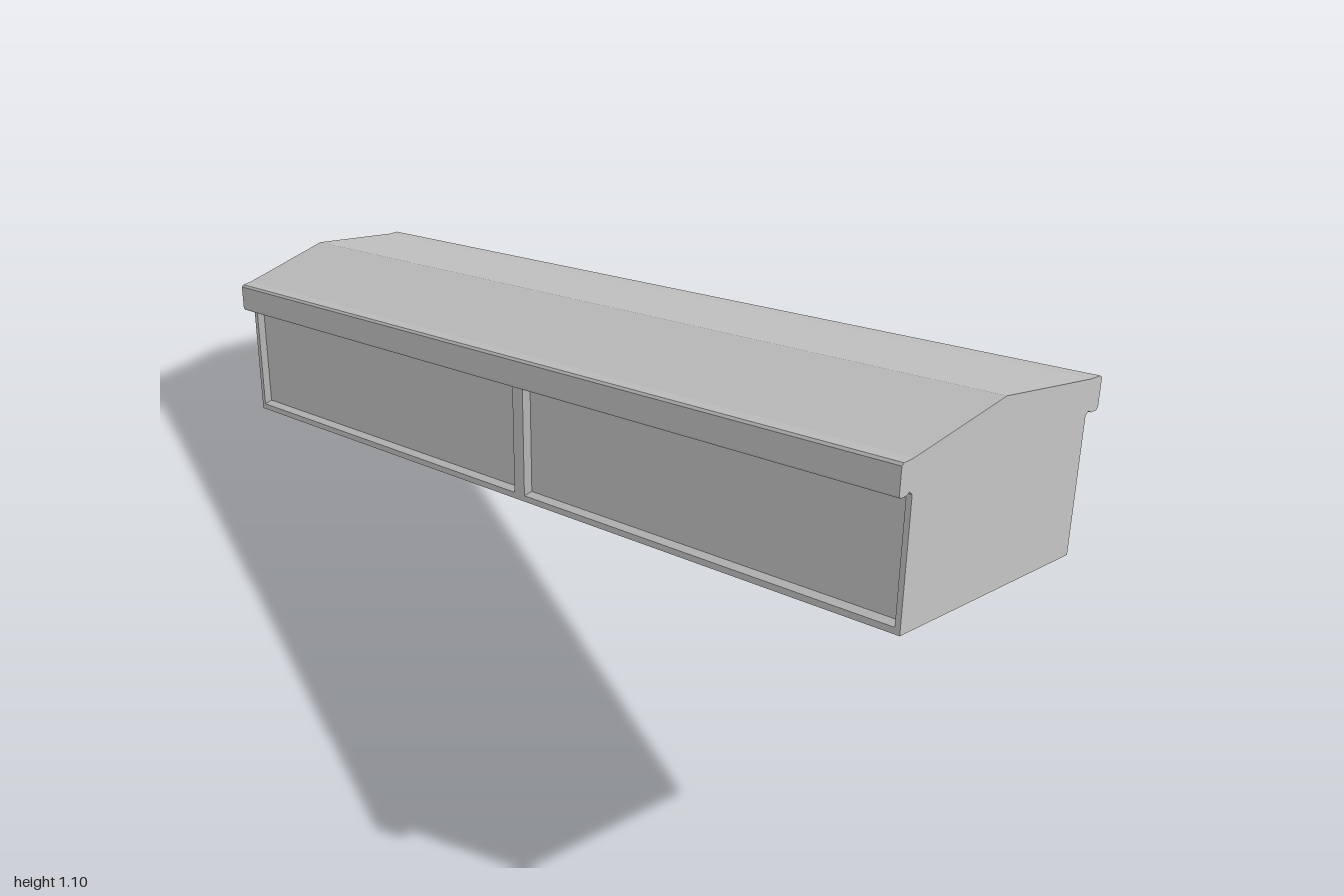
import * as THREE from 'three';

const SLOPE = 0.37, WALL_Z = 0.165, WALL_TOP = 0.26;
const material = new THREE.MeshStandardMaterial({
  color: 0xcccccc, flatShading: true, side: THREE.DoubleSide,
});

// Slants a level part so that it climbs towards +x
function slantedMesh(name, geometry) {
  const geo = geometry.index ? geometry.toNonIndexed() : geometry;
  const p = geo.attributes.position;
  for (let i = 0; i < p.count; i++) {
    p.setY(i, p.getY(i) + SLOPE * (p.getX(i) + 1));
  }
  geo.computeVertexNormals();
  const mesh = new THREE.Mesh(geo, material);
  mesh.name = name;
  return mesh;
}

// Joins two matching rows of [x, y, z] points with quads
function strip(rowA, rowB) {
  const pos = [];
  for (let i = 0; i + 1 < rowA.length; i++) {
    const [a, b, c, d] = [rowA[i], rowA[i + 1], rowB[i + 1], rowB[i]];
    pos.push(...a, ...b, ...c, ...a, ...c, ...d);
  }
  const geo = new THREE.BufferGeometry();
  geo.setAttribute('position', new THREE.Float32BufferAttribute(pos, 3));
  return geo;
}

// Closed rectangle of corners, counter-clockwise seen from +z
const rect = (x0, x1, y0, y1) => [[x0, y0], [x1, y0], [x1, y1], [x0, y1], [x0, y0]];
const toPath = (pts, Type) => new Type(pts.map(([x, y]) => new THREE.Vector2(x, y)));

// Side wall: a frame with two bevelled, recessed panels
function sideWall(name) {
  const wall = new THREE.Group();
  wall.name = name;
  const depth = 0.012, bevel = 0.006;
  const frame = toPath(rect(-1, 1, 0, WALL_TOP), THREE.Shape);
  for (const [x0, x1] of [[-0.988, -0.016], [0.016, 0.988]]) {
    const outer = rect(x0, x1, 0.013, 0.246);
    const inner = rect(x0 + bevel, x1 - bevel, 0.013 + bevel, 0.246 - bevel);
    frame.holes.push(toPath(outer, THREE.Path));
    const rim = strip(
      outer.map(([x, y]) => [x, y, WALL_Z]),
      inner.map(([x, y]) => [x, y, WALL_Z - depth]),
    );
    const panel = new THREE.ShapeGeometry(toPath(inner, THREE.Shape));
    panel.translate(0, 0, WALL_Z - depth);
    wall.add(slantedMesh('panelRim', rim), slantedMesh('panel', panel));
  }
  const frameGeo = new THREE.ShapeGeometry(frame);
  frameGeo.translate(0, 0, WALL_Z);
  wall.add(slantedMesh('wallFrame', frameGeo));
  return wall;
}

export function createModel() {
  const model = new THREE.Group();
  model.name = 'slopedCoveredPassage';

  // Half of the roof section as [z, y], from the wall round the eave to the ridge
  const half = [
    [WALL_Z, 0.255], [0.17, 0.262], [0.176, 0.257], [0.186, 0.257], [0.189, 0.262],
    [0.189, 0.314], [0.185, 0.318], [0.168, 0.319], [0, 0.356],
  ];
  const profile = [...half, ...half.slice(0, -1).reverse().map(([z, y]) => [-z, y])];
  const row = (pts, x) => pts.map(([z, y]) => [x, y, z]);
  model.add(slantedMesh('roof', strip(row(profile, -1), row(profile, 1))));

  // Floor
  const floor = [[-WALL_Z, 0], [WALL_Z, 0]];
  model.add(slantedMesh('floor', strip(row(floor, -1), row(floor, 1))));

  // Mirrored side walls
  const frontWall = sideWall('frontWall');
  const backWall = sideWall('backWall');
  backWall.scale.z = -1;
  model.add(frontWall, backWall);

  // Upper end is closed, lower end stays open
  const section = toPath([[-WALL_Z, 0], [WALL_Z, 0], ...profile].map(([z, y]) => [-z, y]), THREE.Shape);
  const cap = new THREE.ShapeGeometry(section);
  cap.rotateY(Math.PI / 2);
  cap.translate(1, 0, 0);
  model.add(slantedMesh('upperEndWall', cap));

  return model;
}
